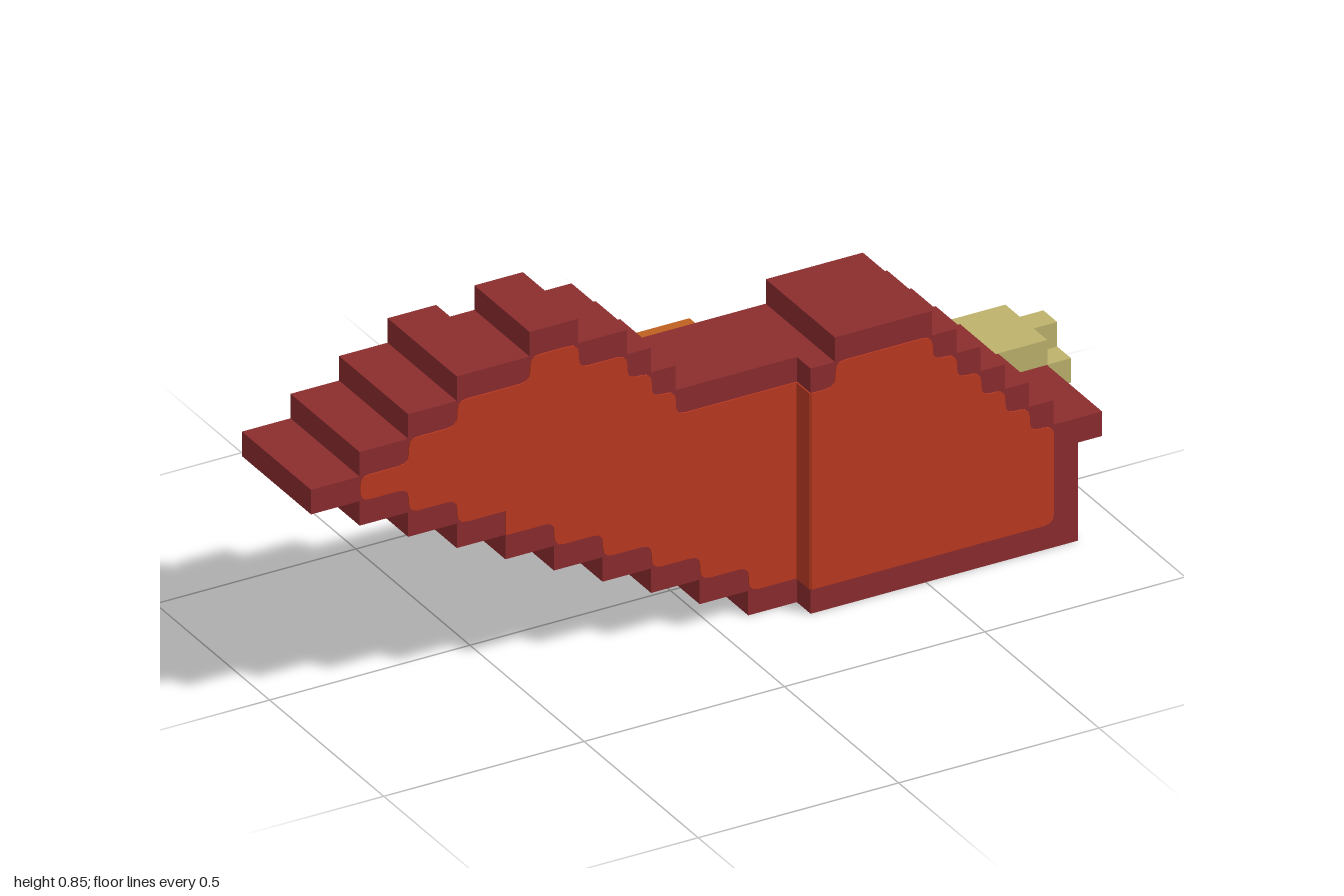
import * as THREE from 'three';

const U = 2 / 33; // one block
const X = (i) => -1 + i * U;

const mat = (name, color) => {
  const m = new THREE.MeshStandardMaterial({ color });
  m.name = name;
  return m;
};

// Runs of [end column, bottom, top] become one [bottom, top] pair per column
function columns(start, runs) {
  const cols = [];
  let i = start;
  for (const [end, bottom, top] of runs) for (; i < end; i++) cols[i] = [bottom, top];
  return cols;
}

// Columns one block inside the outline
function inset(cols) {
  return cols.map((c, i) => {
    const l = cols[i - 1], r = cols[i + 1];
    if (!l || !r) return undefined;
    const b = Math.max(c[0] + 1, l[0], r[0]);
    const t = Math.min(c[1] - 1, l[1], r[1]);
    return t > b ? [b, t] : undefined;
  });
}

// Stepped outline over columns a..b, with corners optionally rounded
function stepShape(cols, a, b, radius = 0, keep = []) {
  const raw = [];
  for (let i = a; i < b; i++) if (cols[i]) raw.push([i, cols[i][0]], [i + 1, cols[i][0]]);
  for (let i = b - 1; i >= a; i--) if (cols[i]) raw.push([i + 1, cols[i][1]], [i, cols[i][1]]);
  const uniq = raw.filter((p, n) => {
    const q = raw[(n + 1) % raw.length];
    return p[0] !== q[0] || p[1] !== q[1];
  });
  const pts = uniq.filter((p, n) => {
    const o = uniq[(n + uniq.length - 1) % uniq.length], q = uniq[(n + 1) % uniq.length];
    return (p[0] - o[0]) * (q[1] - p[1]) !== (p[1] - o[1]) * (q[0] - p[0]);
  }).map((p) => ({ v: new THREE.Vector2(X(p[0]), p[1] * U), sharp: !radius || keep.includes(p[0]) }));
  const shape = new THREE.Shape();
  pts.forEach(({ v, sharp }, n) => {
    const prev = pts[(n + pts.length - 1) % pts.length].v, next = pts[(n + 1) % pts.length].v;
    const toward = (t) => v.clone().add(t.clone().sub(v).setLength(radius * U));
    const p = sharp ? v : toward(prev);
    if (n === 0) shape.moveTo(p.x, p.y);
    else shape.lineTo(p.x, p.y);
    if (!sharp) {
      const q = toward(next);
      shape.quadraticCurveTo(v.x, v.y, q.x, q.y);
    }
  });
  shape.closePath();
  return shape;
}

export function createModel() {
  const model = new THREE.Group();
  model.name = 'sheathedBlade';
  const darkRed = mat('dark red', 0x8b2c2e);
  const red = mat('red', 0xbc3a22);
  const orange = mat('orange', 0xbf6020);
  const gold = mat('gold', 0xb58a2a);
  const cream = mat('pale yellow', 0xbeb26c);

  const add = (name, geometry, material, parent = model) => {
    const mesh = new THREE.Mesh(geometry, material);
    mesh.name = name;
    parent.add(mesh);
    return mesh;
  };
  const slab = (name, shape, z0, z1, material) => {
    const g = new THREE.ExtrudeGeometry(shape, { depth: z1 - z0, bevelEnabled: false, curveSegments: 3 });
    add(name, g.translate(0, 0, z0), material);
  };
  // Box from block coordinates, grown by e on every side
  const block = (name, [x0, x1], [y0, y1], [z0, z1], material, e = 0) => {
    const g = new THREE.BoxGeometry((x1 - x0) * U + 2 * e, (y1 - y0) * U + 2 * e, (z1 - z0) * U + 2 * e);
    add(name, g.translate(X((x0 + x1) / 2), ((y0 + y1) / 2) * U, ((z0 + z1) / 2) * U), material);
  };
  const T = 0.003; // half thickness of painted plates

  // Stepped body in three depths
  const body = columns(0, [
    [2, 9, 10], [4, 8, 11], [6, 7, 12], [8, 6, 13], [9, 5, 13], [10, 5, 14], [11, 4, 14], [12, 4, 13],
    [13, 3, 13], [14, 3, 12], [15, 2, 11], [16, 2, 10], [18, 1, 10], [21, 0, 10], [25, 0, 11], [26, 0, 10],
    [27, 0, 9], [28, 0, 8], [29, 0, 7], [30, 0, 6], [31, 0, 5], [32, 4, 5],
  ]);
  const bodyCore = inset(body);
  const cuts = [8, 20];
  for (const [name, a, b, back, front] of [
    ['Tip', 0, 8, -2, 3], ['Middle', 8, 20, -1, 3], ['Mouth', 20, 32, -1, 4],
  ]) {
    slab('body' + name, stepShape(body, a, b), back * U, front * U, darkRed);
    const core = stepShape(bodyCore, a, b, 0.4, cuts);
    slab('frontPanel' + name, core, front * U - T, front * U + T, red);
    slab('backPanel' + name, core, back * U - T, back * U + T, red);
  }
  // Red faces on the two depth steps
  const e = T / U;
  block('frontStepPanel', [20 - e, 20 + e], [1, 9], [3, 4], red);
  block('backStepPanel', [8 - e, 8 + e], [7, 12], [-2, -1], red);

  // Blade on the back
  const blade = columns(8, [
    [11, 7, 9], [14, 6, 9], [17, 5, 9], [19, 4, 9], [20, 4, 8], [22, 3, 8], [25, 4, 7], [29, 4, 6],
  ]);
  const inner = blade.map((c, i) => (i >= 22 ? [c[0], 6] : c));
  slab('bladeOuter', stepShape(blade, 8, 25), -3 * U, -2 * U, orange);
  slab('bladeInner', stepShape(inner, 8, 25), -2 * U, -U, orange);
  slab('bladePanel', stepShape(inset(blade), 8, 25, 0.4), -3 * U - T, -3 * U + T, gold);
  block('bladePoint', [7, 8], [8, 9], [-4, -2], orange);

  // Grip and pommel
  block('grip', [25, 29], [4, 6], [-3, -1], cream);
  block('gripCollar', [22, 26], [6, 7], [-2, -1], cream);
  block('pommel', [29, 32], [3, 6], [-3, 0], cream, 0.001);
  block('pommelEndUpright', [32, 33], [3, 6], [-2, -1], cream);
  block('pommelEndCross', [32, 33], [4, 5], [-3, 0], cream);
  return model;
}
